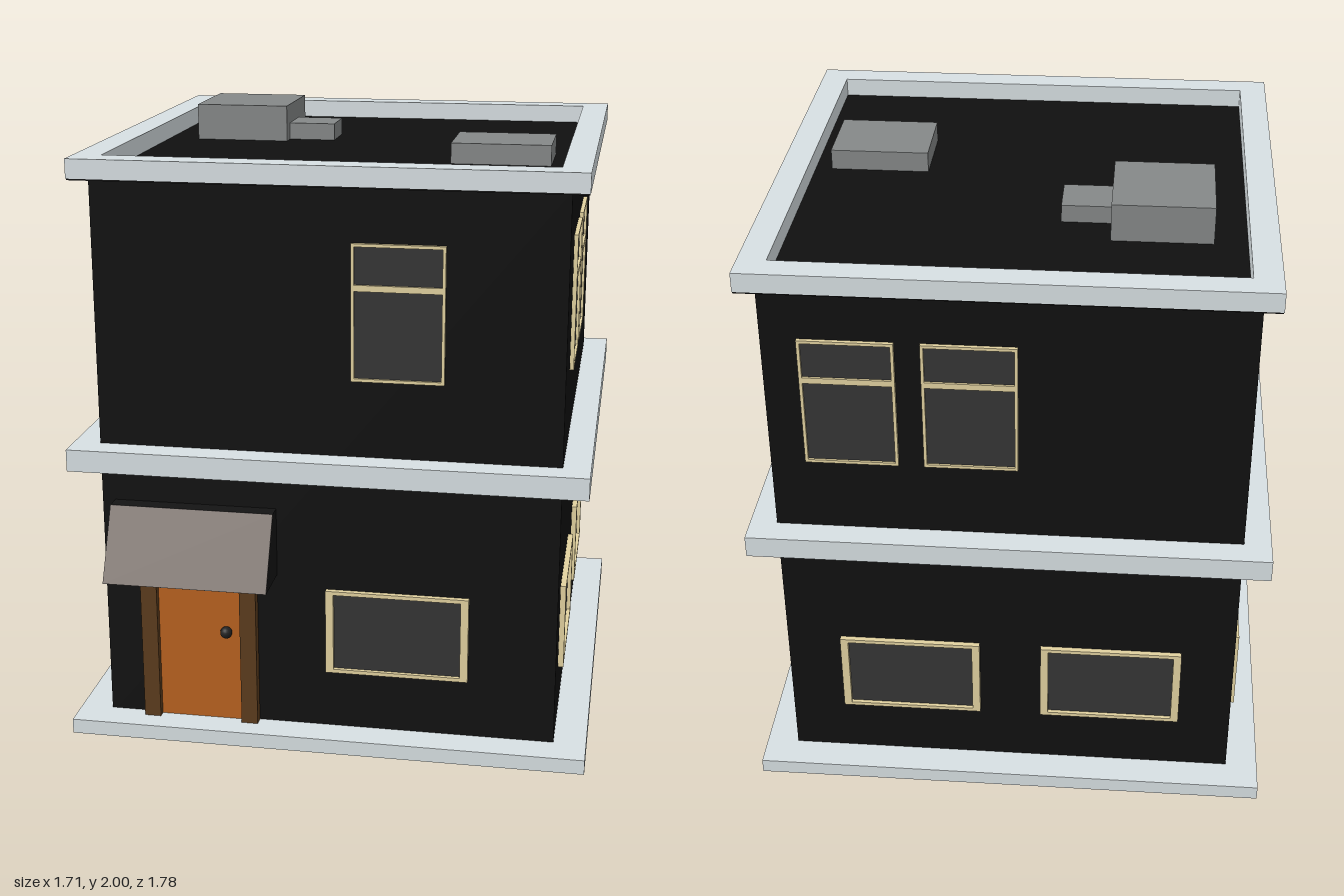
import * as THREE from 'three';

const mat = (color) => new THREE.MeshStandardMaterial({ color });
const M = {
  wall: mat(0x101010), trim: mat(0xd8e0e3), frame: mat(0xe2d2a0), glass: mat(0x353535),
  door: mat(0xb86220), jamb: mat(0x5c3c1d), knob: mat(0x222222), awning: mat(0x766b65),
  dark: mat(0x141414), vent: mat(0x858888),
};
const CZ = -0.03; // centre of the house in z

function add(parent, name, geometry, material) {
  const mesh = new THREE.Mesh(geometry, material);
  mesh.name = name;
  parent.add(mesh);
  return mesh;
}

// Box given by its limits on each axis
function box(parent, name, material, [x0, x1], [y0, y1], [z0, z1]) {
  const mesh = add(parent, name, new THREE.BoxGeometry(x1 - x0, y1 - y0, z1 - z0), material);
  mesh.position.set((x0 + x1) / 2, (y0 + y1) / 2, (z0 + z1) / 2);
  return mesh;
}

// Rectangular ring in the xy plane, extruded along z
function ring(w, h, sideW, topW, depth) {
  const rect = (a, b, P) => new P()
    .moveTo(-a, -b).lineTo(a, -b).lineTo(a, b).lineTo(-a, b).closePath();
  const shape = rect(w / 2, h / 2, THREE.Shape);
  shape.holes.push(rect(w / 2 - sideW, h / 2 - topW, THREE.Path));
  return new THREE.ExtrudeGeometry(shape, { depth, bevelEnabled: false });
}

// Window facing +z, with an optional crossbar
function makeWindow(upper) {
  const g = new THREE.Group();
  const [w, h, side, top, depth] = upper
    ? [0.295, 0.44, 0.01, 0.01, 0.013] : [0.47, 0.29, 0.026, 0.013, 0.018];
  g.name = upper ? 'upperWindow' : 'lowerWindow';
  add(g, 'windowFrame', ring(w, h, side, top, depth), M.frame);
  box(g, 'windowGlass', M.glass, [-w / 2 + side, w / 2 - side], [-h / 2 + top, h / 2 - top], [-0.005, 0.005]);
  if (upper) box(g, 'windowBar', M.frame, [-w / 2 + side, w / 2 - side], [0.07, 0.09], [0, depth]);
  return g;
}

export function createModel() {
  const house = new THREE.Group();
  house.name = 'house';

  // Walls, plinth, middle band and roof slab
  const slab = (name, material, r, y) => box(house, name, material, [-r, r], y, [CZ - r, CZ + r]);
  slab('walls', M.wall, 0.75, [0.03, 1.874]);
  slab('plinth', M.trim, 0.857, [0, 0.05]);
  slab('middleBand', M.trim, 0.838, [0.93, 1.003]);
  slab('roofSlab', M.wall, 0.803, [1.872, 1.878]);

  // Raised rim around the flat roof
  const rim = add(house, 'roofRim', ring(1.61, 1.61, 0.09, 0.09, 0.062), M.trim);
  rim.rotation.x = -Math.PI / 2;
  rim.position.set(0, 1.877, CZ);

  // Rooftop boxes
  box(house, 'largeRoofUnit', M.vent, [-0.61, -0.29], [1.87, 2], [-0.42, -0.095]);
  box(house, 'smallRoofUnit', M.vent, [-0.29, -0.13], [1.87, 1.935], [-0.30, -0.145]);
  box(house, 'lowRoofUnit', M.vent, [0.335, 0.66], [1.87, 1.945], [0.04, 0.30]);

  // Windows on each wall: positions along x (front, back) or z (sides)
  const walls = [
    { turn: 0, upper: [0.228], lower: [0.23], at: (s) => [s, 0.72] },
    { turn: Math.PI / 2, upper: [0.338, -0.04], lower: [0.335, -0.408], at: (s) => [0.75, s] },
    { turn: Math.PI, upper: [0.49, 0.115], lower: [0.335, -0.34], at: (s) => [s, -0.78] },
    { turn: -Math.PI / 2, upper: [0.25], lower: [-0.45, 0.33], at: (s) => [-0.75, s] },
  ];
  for (const { turn, upper, lower, at } of walls) {
    for (const [list, isUpper, y] of [[upper, true, 1.475], [lower, false, 0.395]]) {
      for (const s of list) {
        const win = makeWindow(isUpper);
        const [x, z] = at(s);
        win.position.set(x, y, z);
        win.rotation.y = turn;
        house.add(win);
      }
    }
  }

  // Door with jambs and knob
  const entrance = new THREE.Group();
  entrance.name = 'entrance';
  house.add(entrance);
  box(entrance, 'door', M.door, [-0.57, -0.29], [0.05, 0.6], [0.7, 0.73]);
  box(entrance, 'rightJamb', M.jamb, [-0.625, -0.57], [0.05, 0.6], [0.7, 0.755]);
  box(entrance, 'leftJamb', M.jamb, [-0.29, -0.235], [0.05, 0.6], [0.7, 0.755]);
  const knob = add(entrance, 'doorKnob', new THREE.SphereGeometry(0.02, 16, 12), M.knob);
  knob.position.set(-0.34, 0.368, 0.738);

  // Awning: dark wedge with a lighter sloping cover
  const wedge = new THREE.Shape()
    .moveTo(-0.715, 0.58).lineTo(-0.715, 0.81).lineTo(-0.772, 0.81).lineTo(-0.887, 0.58).closePath();
  const awning = add(entrance, 'awning',
    new THREE.ExtrudeGeometry(wedge, { depth: 0.54, bevelEnabled: false }), M.dark);
  awning.rotation.y = Math.PI / 2;
  awning.position.x = -0.708;
  const cover = add(entrance, 'awningCover',
    new THREE.BoxGeometry(0.54, Math.hypot(0.23, 0.115), 0.004), M.awning);
  cover.position.set(-0.438, 0.695, 0.83);
  cover.rotation.x = -Math.atan2(0.115, 0.23);

  return house;
}
